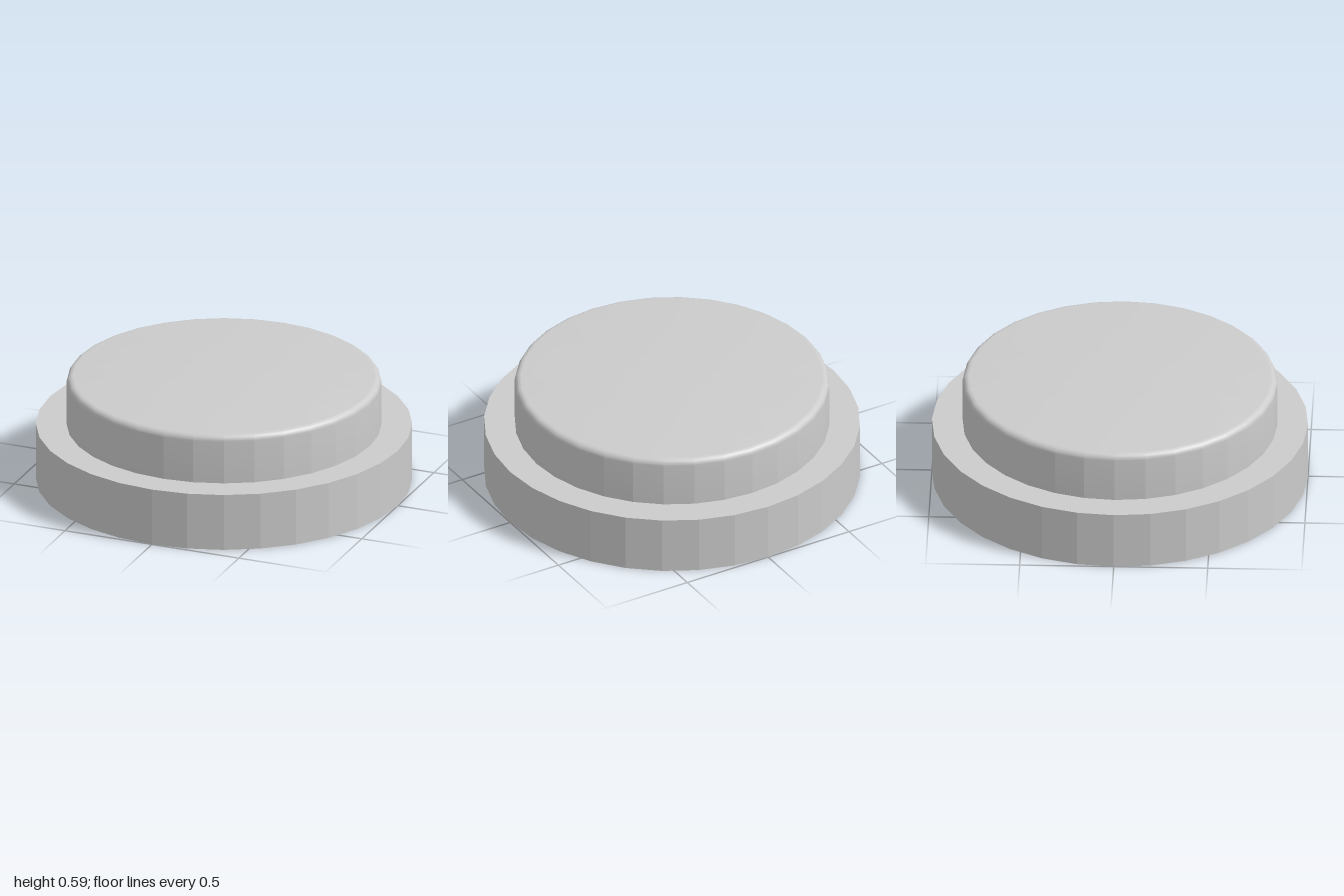
import * as THREE from 'three';
import { toCreasedNormals } from 'three/addons/utils/BufferGeometryUtils.js';

const SIDES = 32;
const BASE_HEIGHT = 0.315;
const TOP = 0.588;
const CAP_RADIUS = 0.837;
const ROUND = 0.036;

export function createModel() {
  const group = new THREE.Group();
  group.name = 'button';
  const material = new THREE.MeshStandardMaterial({ color: 0xcccccc });

  // Wide faceted base disc
  const baseGeometry = toCreasedNormals(new THREE.CylinderGeometry(1, 1, BASE_HEIGHT, SIDES), 0.19);
  const base = new THREE.Mesh(baseGeometry, material);
  base.name = 'base';
  base.position.y = BASE_HEIGHT / 2;
  group.add(base);

  // Raised cap: faceted wall with a softly rounded top rim
  const profile = [new THREE.Vector2(CAP_RADIUS, BASE_HEIGHT)];
  const steps = 10;
  for (let i = 0; i <= steps; i++) {
    const a = (i / steps) * Math.PI / 2;
    profile.push(new THREE.Vector2(
      CAP_RADIUS - ROUND + ROUND * Math.cos(a),
      TOP - ROUND + ROUND * Math.sin(a)
    ));
  }
  profile.push(new THREE.Vector2(0, TOP));
  const cap = new THREE.Mesh(toCreasedNormals(new THREE.LatheGeometry(profile, SIDES), 0.19), material);
  cap.name = 'cap';
  group.add(cap);

  return group;
}
